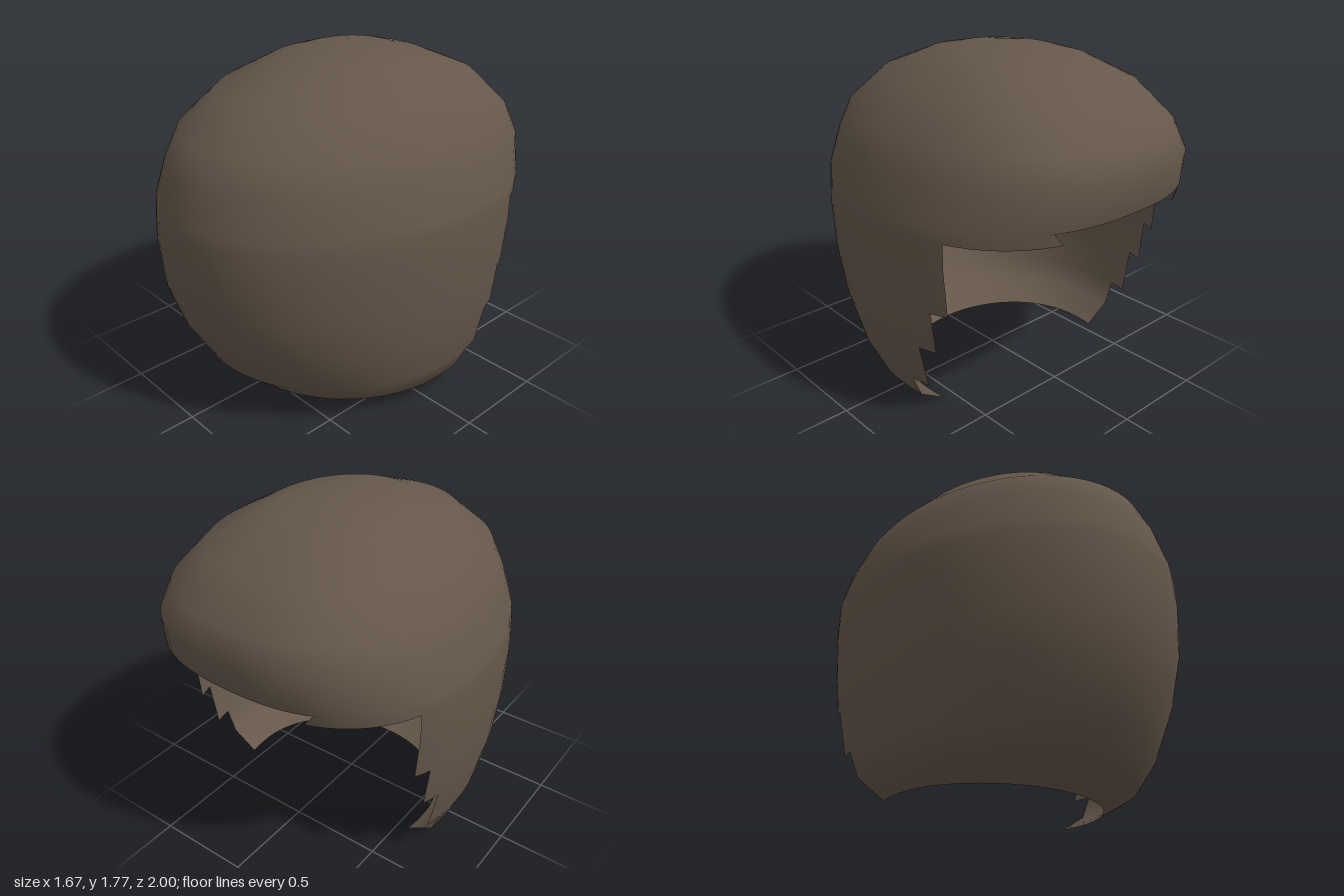
import * as THREE from 'three';

// Rings from crown to lower rim: [y, half width, front z, back z, back limit of the strip below]
const FULL = -2;
const RINGS = [
  [1.775, 0, -0.1, -0.1, FULL],
  [1.735, 0.24, 0.18, -0.36, FULL],
  [1.70, 0.36, 0.35, -0.50, FULL],
  [1.59, 0.555, 0.64, -0.76, FULL],
  [1.42, 0.705, 0.86, -0.94, FULL],
  [1.28, 0.765, 0.93, -1.0, FULL],
  [1.10, 0.823, 0.985, -0.955, -0.88],
  [1.03, 0.828, 0.993, -0.93, -0.52],
  [0.90, 0.835, 1.0, -0.90, -0.52],
  [0.66, 0.828, 0.98, -0.85, -0.44],
  [0.44, 0.81, 0.905, -0.80, -0.35],
  [0.21, 0.765, 0.77, -0.75, -0.25],
  [0.09, 0.715, 0.635, -0.70, -0.25],
  [0.0, 0.57, 0.40, -0.60, -0.25],
];
const CENTRE_Z = -0.1;
const SQUARENESS = 2.5; // the back half is a slightly squared ellipse
const SEGMENTS = 72;

// Point on a ring; angle 0 is the front, positive towards +x
function ringPoint(i, angle) {
  const [y, w, front, back] = RINGS[i];
  const s = Math.sin(angle), c = Math.cos(angle);
  if (c >= 0) return new THREE.Vector3(w * s, y, CENTRE_Z + (front - CENTRE_Z) * c);
  const e = 2 / SQUARENESS;
  return new THREE.Vector3(
    w * Math.sign(s) * Math.abs(s) ** e, y, CENTRE_Z + (back - CENTRE_Z) * Math.abs(c) ** e);
}

// Smooth outward normal from neighbouring points
function ringNormal(i, angle) {
  if (i === 0) return new THREE.Vector3(0, 1, 0);
  const across = ringPoint(i, angle + 0.03).sub(ringPoint(i, angle - 0.03));
  const up = ringPoint(i - 1, angle).sub(ringPoint(Math.min(i + 1, RINGS.length - 1), angle));
  return across.cross(up).normalize();
}

// Angle at which a ring reaches the given z behind the centre
function limitAngle(i, z) {
  const t = (z - CENTRE_Z) / (RINGS[i][3] - CENTRE_Z);
  return z === FULL || t >= 1 ? Math.PI : Math.acos(-(t ** (SQUARENESS / 2)));
}

// Strips between rings, each cut off at its own limit to form the stepped opening
function shellGeometry() {
  const positions = [], normals = [], indices = [];
  for (let i = 0; i < RINGS.length - 1; i++) {
    const start = positions.length / 3;
    for (const ring of [i, i + 1]) {
      const limit = limitAngle(ring, RINGS[i][4]);
      for (let j = 0; j <= SEGMENTS; j++) {
        const angle = THREE.MathUtils.clamp((j / SEGMENTS * 2 - 1) * Math.PI, -limit, limit);
        positions.push(...ringPoint(ring, angle).toArray());
        normals.push(...ringNormal(ring, angle).toArray());
      }
    }
    for (let j = 0; j < SEGMENTS; j++) {
      const a = start + j, b = a + SEGMENTS + 1;
      indices.push(a, b, b + 1);
      if (i > 0) indices.push(a, b + 1, a + 1);
    }
  }
  const geometry = new THREE.BufferGeometry();
  geometry.setAttribute('position', new THREE.Float32BufferAttribute(positions, 3));
  geometry.setAttribute('normal', new THREE.Float32BufferAttribute(normals, 3));
  geometry.setIndex(indices);
  return geometry;
}

export function createModel() {
  const brown = new THREE.MeshStandardMaterial({ color: 0x65574a, side: THREE.DoubleSide });
  brown.name = 'dark brown';
  const shell = new THREE.Mesh(shellGeometry(), brown);
  shell.name = 'hairShell';
  const group = new THREE.Group();
  group.name = 'hair';
  group.add(shell);
  return group;
}
